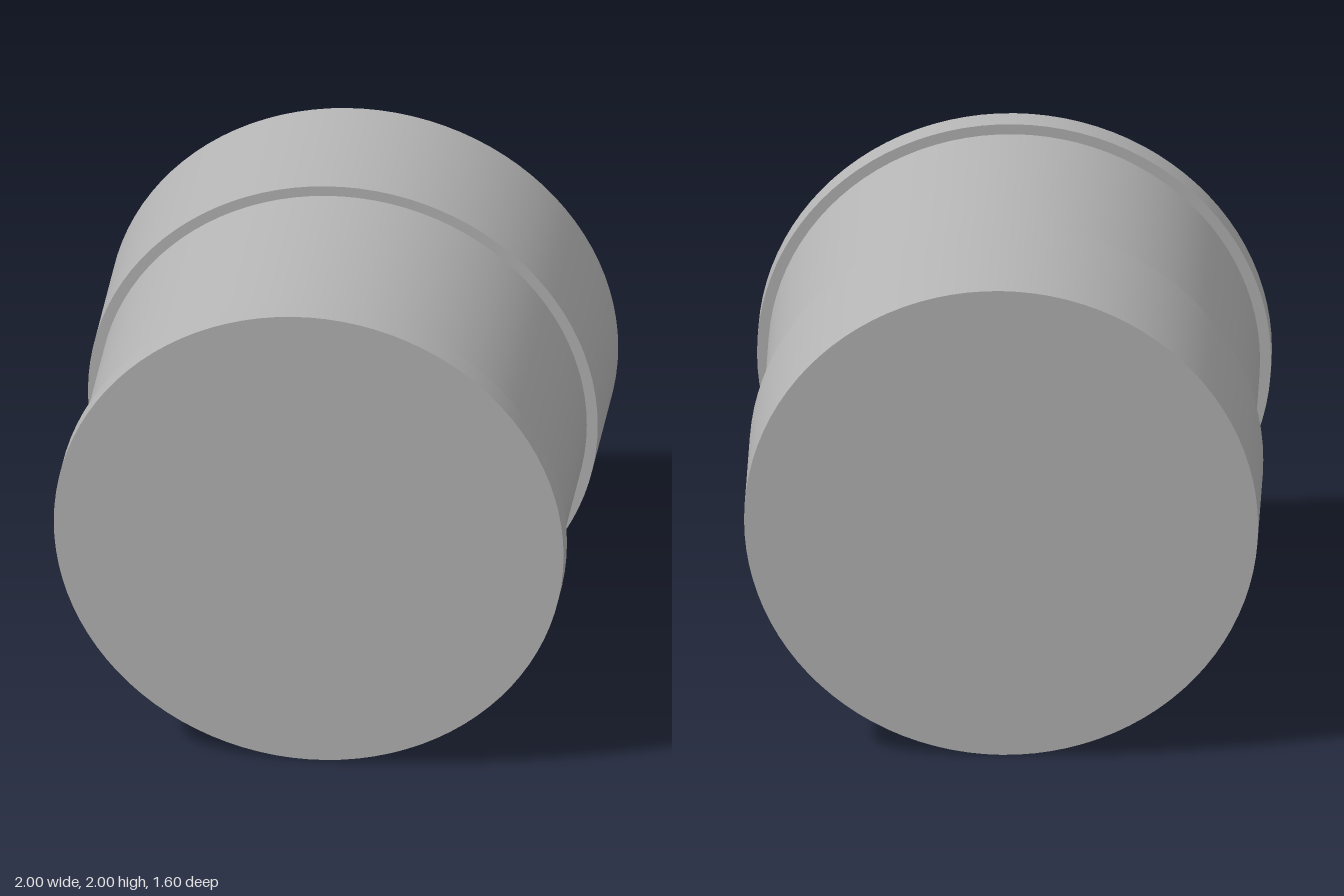
import * as THREE from 'three';

const SEGMENTS = 96;

export function createModel() {
  const model = new THREE.Group();
  model.name = 'flangedDrum';
  const grey = new THREE.MeshStandardMaterial({ color: 0xb4b4b4 });
  grey.name = 'plain grey';

  // A round section lying along z, from zBack to zFront
  function section(name, radius, zBack, zFront, open = false) {
    const geometry = new THREE.CylinderGeometry(radius, radius, zFront - zBack, SEGMENTS, 1, open);
    geometry.rotateX(Math.PI / 2);
    const mesh = new THREE.Mesh(geometry, grey);
    mesh.name = name;
    mesh.position.set(0, 1, (zBack + zFront) / 2);
    model.add(mesh);
  }

  section('frontFlange', 1, 0.7, 0.8);
  section('body', 0.957, -0.2, 0.7, true); // ends are closed by its neighbours
  section('rearCollar', 1, -0.8, -0.2);

  return model;
}
